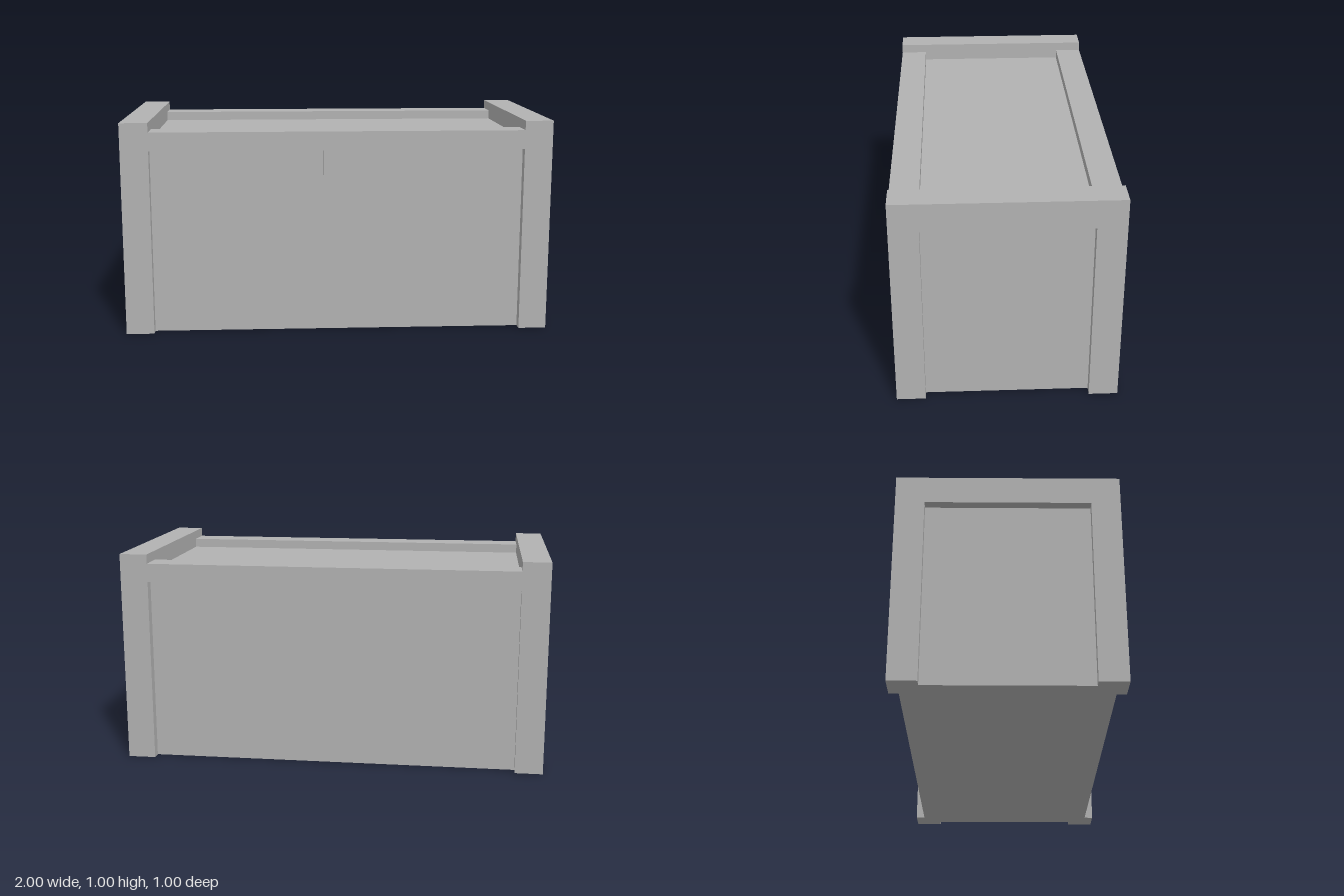
import * as THREE from 'three';

// All parts sit on a regular grid; the chest is 46 x 23 x 23 cells.
const U = 2 / 46;

export function createModel() {
  const chest = new THREE.Group();
  chest.name = 'chest';
  const grey = new THREE.MeshStandardMaterial({ color: 0xb2b2b2 });
  grey.name = 'plain grey';

  const add = (name, geometry) => {
    const mesh = new THREE.Mesh(geometry, grey);
    mesh.name = name;
    chest.add(mesh);
    return mesh;
  };

  // Box given by its lowest and highest corners, in cells
  const box = (name, [x0, y0, z0], [x1, y1, z1]) => {
    const mesh = add(name, new THREE.BoxGeometry((x1 - x0) * U, (y1 - y0) * U, (z1 - z0) * U));
    mesh.position.set((x0 + x1) / 2 * U, (y0 + y1) / 2 * U, (z0 + z1) / 2 * U);
  };

  // Recessed body with the sunken lid panel as its top
  box('body', [-22, 0, -10.5], [22, 21, 10.5]);

  // End frames: two corner posts joined by a raised top rail
  const outline = [[-11.5, 0], [-8.5, 0], [-8.5, 20], [8.5, 20], [8.5, 0], [11.5, 0], [11.5, 23], [-11.5, 23]];
  const shape = new THREE.Shape(outline.map(([z, y]) => new THREE.Vector2(z * U, y * U)));
  const frame = new THREE.ExtrudeGeometry(shape, { depth: 3 * U, bevelEnabled: false });
  frame.rotateY(Math.PI / 2);
  add('leftEndFrame', frame).position.x = 20 * U;
  add('rightEndFrame', frame).position.x = -23 * U;

  // Long rails between the end frames
  box('frontRail', [-20, 20, 8.5], [20, 22, 11.5]);
  box('backRail', [-20, 20, -11.5], [20, 22, -8.5]);

  // Clasp hanging from the front rail
  box('clasp', [-1.5, 15, 10.5], [1.5, 20, 11.5]);

  return chest;
}
